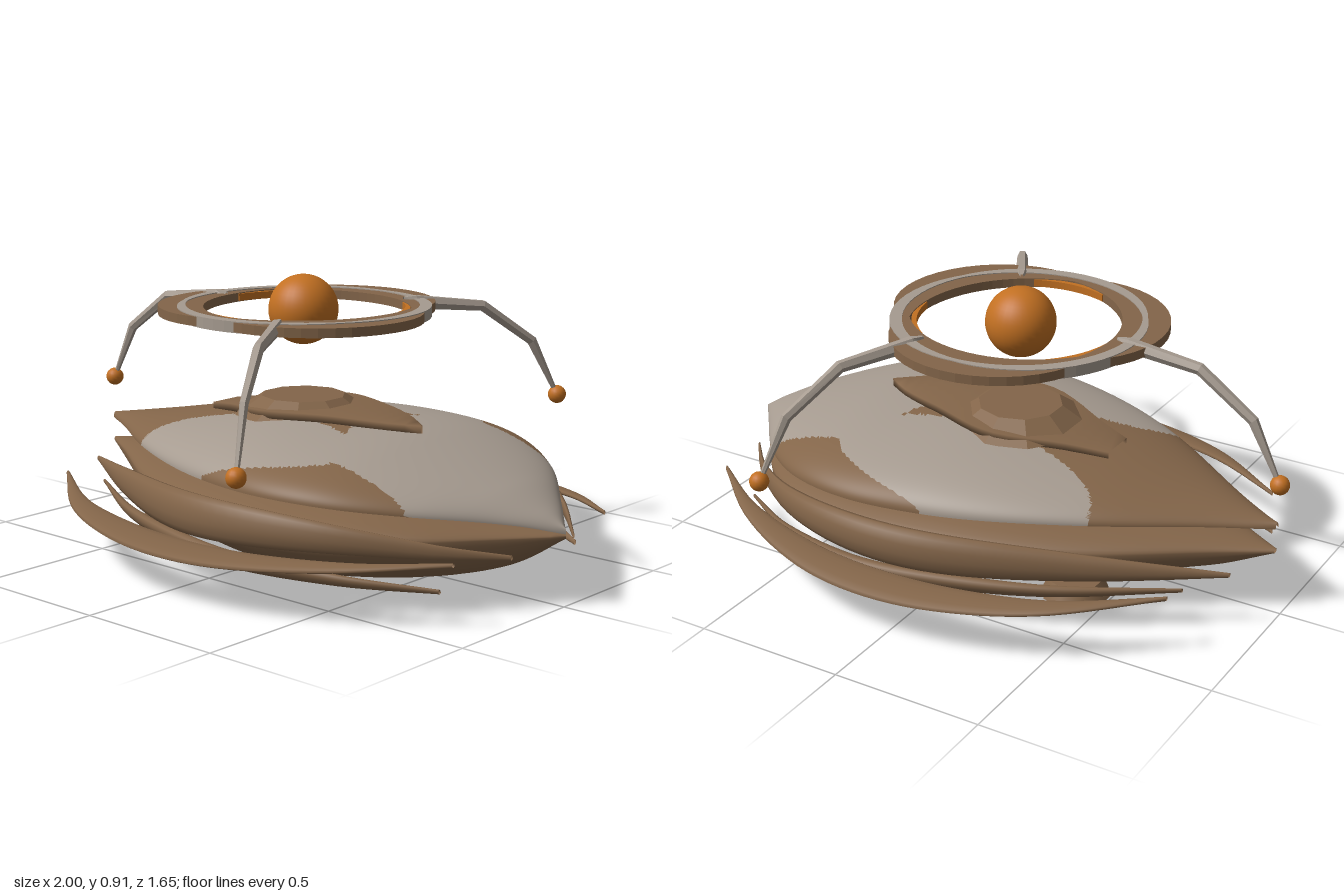
import * as THREE from 'three';
import { mergeVertices } from 'three/addons/utils/BufferGeometryUtils.js';

const mat = (name, color) => {
  const m = new THREE.MeshStandardMaterial({ color, side: THREE.DoubleSide });
  m.name = name;
  return m;
};

// Smooth value at x from a short table of [x, value] pairs
function at(table, x) {
  const n = table.length - 1;
  let i = 0;
  while (i < n - 1 && x > table[i + 1][0]) i++;
  const slope = k => {
    const a = table[Math.max(k - 1, 0)], b = table[Math.min(k + 1, n)];
    return (b[1] - a[1]) / (b[0] - a[0]);
  };
  const [x0, y0] = table[i], [x1, y1] = table[i + 1];
  const d = x1 - x0, t = Math.min(1, Math.max(0, (x - x0) / d)), t2 = t * t, t3 = t2 * t;
  return (2 * t3 - 3 * t2 + 1) * y0 + (t3 - 2 * t2 + t) * d * slope(i)
    + (3 * t2 - 2 * t3) * y1 + (t3 - t2) * d * slope(i + 1);
}

// Surface from fn(u, v) -> [x, y, z]; paint(x, z) picks the material of each face
function grid(nu, nv, fn, paint) {
  const pos = [], groups = [[], []];
  for (let i = 0; i <= nu; i++) for (let j = 0; j <= nv; j++) pos.push(...fn(i / nu, j / nv));
  const add = (a, b, c) => {
    const mid = k => (pos[a * 3 + k] + pos[b * 3 + k] + pos[c * 3 + k]) / 3;
    groups[paint && paint(mid(0), mid(2)) ? 1 : 0].push(a, b, c);
  };
  for (let i = 0; i < nu; i++) for (let j = 0; j < nv; j++) {
    const a = i * (nv + 1) + j, b = a + nv + 1;
    add(a, a + 1, b);
    add(b, a + 1, b + 1);
  }
  let g = new THREE.BufferGeometry();
  g.setAttribute('position', new THREE.Float32BufferAttribute(pos, 3));
  g.setIndex([...groups[0], ...groups[1]]);
  if (paint) {
    g.addGroup(0, groups[0].length, 0);
    g.addGroup(groups[0].length, groups[1].length, 1);
  } else g = mergeVertices(g, 1e-5);
  g.computeVertexNormals();
  return g;
}

export function createModel() {
  const brown = mat('brown plating', 0x836549);
  const grey = mat('warm grey plating', 0xa69b90);
  const orange = mat('orange glow', 0xc27022);
  const model = new THREE.Group();
  const add = (name, geo, material, parent = model) => {
    const m = new THREE.Mesh(geo, material);
    m.name = name;
    parent.add(m);
    return m;
  };

  // Almond outline shared by the hull and the upper shell
  const width = [[-0.97, 0.01], [-0.8, 0.115], [-0.5, 0.32], [-0.25, 0.45], [0, 0.53], [0.27, 0.565],
    [0.5, 0.51], [0.7, 0.365], [0.88, 0.15], [1, 0]];

  // Main hull: ellipse above and below a sharp waterline
  const hullTop = [[-0.97, 0.23], [-0.6, 0.275], [0, 0.325], [0.5, 0.315], [0.8, 0.26], [1, 0.225]];
  const belly = [[-0.97, 0.215], [-0.78, 0.135], [-0.3, 0.04], [0.2, 0.003], [0.5, 0.025], [0.8, 0.095], [1, 0.215]];
  add('hull', grid(64, 48, (u, v) => {
    const x = -0.97 + 1.97 * u, a = v * Math.PI * 2, s = Math.sin(a);
    const y = s > 0 ? at(hullTop, x) : at(belly, x);
    return [x, 0.22 + (y - 0.22) * Math.abs(s), at(width, x) * Math.cos(a)];
  }), brown);

  // Domed upper shell with grey side patches and a grey nose panel
  const rim = [[-0.97, 0.302], [-0.4, 0.33], [0, 0.328], [0.4, 0.325], [0.7, 0.3], [0.9, 0.262], [1, 0.228]];
  const crown = [[-0.97, 0.322], [-0.7, 0.37], [-0.4, 0.425], [0, 0.472], [0.3, 0.466], [0.5, 0.44],
    [0.8, 0.352], [0.93, 0.29], [1, 0.245]];
  const isGrey = (x, z) => {
    const az = Math.abs(z);
    const patch = ((x + 0.03) / 0.45) ** 2 + ((az - 0.33) / 0.2) ** 2 < 1;
    return patch || (x > 0.2 + 0.5 * az && az < 0.375);
  };
  add('upperShell', grid(150, 90, (u, v) => {
    const x = -0.97 + 1.97 * u, a = v * Math.PI, lo = at(rim, x);
    return [x, lo + (at(crown, x) - lo) * Math.sin(a), at(width, x) * Math.cos(a)];
  }, isGrey), [brown, grey]);

  // Curved blades along the flanks: centre line z and y, half depth, half height, tilt
  function blade(name, side, o) {
    const x0 = o.z[0][0], x1 = o.z[o.z.length - 1][0];
    add(name, grid(36, 12, (u, v) => {
      const x = x0 + (x1 - x0) * u, a = v * Math.PI * 2, bulge = Math.sin(Math.PI * u);
      const dz = Math.cos(a) * (0.006 + o.depth * bulge);
      const dy = Math.sin(a) * (0.007 + o.height * bulge);
      const z = at(o.z, x) + dz;
      return [x, at(o.y, x) + dy + dz * o.tilt, side * z];
    }), brown);
  }

  for (const side of [1, -1]) {
    const word = side > 0 ? 'left' : 'right';
    blade(word + 'UpperRail', side, {
      z: [[-0.89, 0.16], [-0.5, 0.385], [-0.1, 0.565], [0.2, 0.605], [0.5, 0.53], [0.75, 0.35], [0.92, 0.16]],
      y: [[-0.89, 0.19], [0, 0.235], [0.5, 0.235], [0.92, 0.175]],
      depth: 0.03, height: 0.06, tilt: -0.2,
    });
    blade(word + 'LowerRail', side, {
      z: [[-0.77, 0.24], [-0.4, 0.45], [0, 0.57], [0.25, 0.585], [0.55, 0.5], [0.8, 0.35]],
      y: [[-0.77, 0.14], [0, 0.125], [0.4, 0.115], [0.8, 0.09]],
      depth: 0.025, height: 0.022, tilt: 0.4,
    });
    blade(word + 'OuterFin', side, {
      z: [[-0.79, 0.39], [-0.5, 0.59], [-0.2, 0.69], [0.08, 0.715], [0.35, 0.68], [0.65, 0.56], [0.88, 0.39]],
      y: [[-0.79, 0.195], [-0.4, 0.17], [0.08, 0.157], [0.5, 0.17], [0.88, 0.195]],
      depth: 0.06, height: 0.006, tilt: -0.15,
    });

    // Belly thrusters
    const pod = new THREE.Group();
    pod.name = word + 'Thruster';
    pod.position.set(-0.415, 0.07, side * 0.27);
    add('thrusterHousing', new THREE.CylinderGeometry(0.085, 0.112, 0.055, 10), brown, pod);
    add('thrusterGlow', new THREE.CylinderGeometry(0.075, 0.075, 0.006, 10), orange, pod).position.y = -0.03;
    model.add(pod);
  }

  // Pedestal on the crown, with a pointed plate fore and aft
  const pedestal = add('pedestal', new THREE.CylinderGeometry(0.14, 0.23, 0.06, 10).toNonIndexed(), brown);
  pedestal.geometry.computeVertexNormals();
  pedestal.position.set(-0.05, 0.482, 0);
  const plateWidth = [[-0.41, 0.06], [-0.3, 0.1], [-0.05, 0.2], [0.2, 0.13], [0.35, 0.07], [0.45, 0.003]];
  const plateY = [[-0.41, 0.432], [-0.2, 0.462], [0, 0.478], [0.2, 0.48], [0.45, 0.465]];
  add('crownPlate', grid(20, 4, (u, v) => {
    const x = -0.41 + 0.86 * u, k = Math.round(v * 4) % 4;
    const sz = k === 0 || k === 3 ? 1 : -1, sy = k < 2 ? 1 : -1;
    return [x, at(plateY, x) + sy * 0.012, sz * at(plateWidth, x)];
  }), brown);

  // Floating ring assembly around the orb
  const halo = new THREE.Group();
  halo.name = 'halo';
  halo.position.set(-0.05, 0, 0);
  model.add(halo);
  add('orb', new THREE.SphereGeometry(0.115, 32, 24), orange, halo).position.y = 0.795;

  function arcPlate(mid, half, inner, outer, depth, y) {
    const n = 20, outerPts = [], innerPts = [];
    for (let i = 0; i <= n; i++) {
      const t = -1 + 2 * i / n, a = THREE.MathUtils.degToRad(mid + half * t);
      const ro = outer(t * t), ri = inner(t * t);
      outerPts.push(new THREE.Vector2(ro * Math.cos(a), ro * Math.sin(a)));
      innerPts.unshift(new THREE.Vector2(ri * Math.cos(a), ri * Math.sin(a)));
    }
    const g = new THREE.ExtrudeGeometry(new THREE.Shape([...outerPts, ...innerPts]),
      { depth, bevelEnabled: false });
    return g.rotateX(-Math.PI / 2).translate(0, y, 0);
  }

  // Arm path as [radius, y, half width, half height]
  const armPath = [[0.35, 0.8, 0.008, 0.02], [0.39, 0.8, 0.022, 0.025], [0.635, 0.775, 0.018, 0.02],
    [0.82, 0.645, 0.014, 0.018], [0.92, 0.45, 0.007, 0.007]];

  for (let i = 0; i < 3; i++) {
    add('ringCrescent', arcPlate(90 + 120 * i, 63, t => 0.325 + 0.035 * t, t => 0.48 - 0.1 * t, 0.03, 0.78),
      brown, halo);
    add('ringBand', arcPlate(30 + 120 * i, 62, t => 0.38 + 0.01 * t, t => 0.42 - 0.015 * t, 0.036, 0.777),
      grey, halo);
    add('ringGlow', arcPlate(30 + 120 * i, 23, () => 0.333, () => 0.35, 0.024, 0.783), orange, halo);

    // Drooping arms with a bead at each tip
    const arm = new THREE.Group();
    arm.name = 'armAssembly';
    arm.rotation.y = Math.PI / 3 * (2 * i + 1);
    const n = armPath.length - 1;
    const g = grid(n, 6, (u, v) => {
      const k = Math.round(u * n), [r, y, w, h] = armPath[k], a = v * Math.PI * 2;
      const p = armPath[Math.max(k - 1, 0)], q = armPath[Math.min(k + 1, n)];
      const dir = Math.atan2(q[1] - p[1], q[0] - p[0]), s = Math.sin(a) * h;
      return [r - Math.sin(dir) * s, y + Math.cos(dir) * s, Math.cos(a) * w];
    }).toNonIndexed();
    g.computeVertexNormals();
    add('arm', g, grey, arm);
    add('armBead', new THREE.SphereGeometry(0.031, 16, 12), orange, arm).position.set(0.92, 0.452, 0);
    halo.add(arm);
  }
  return model;
}
